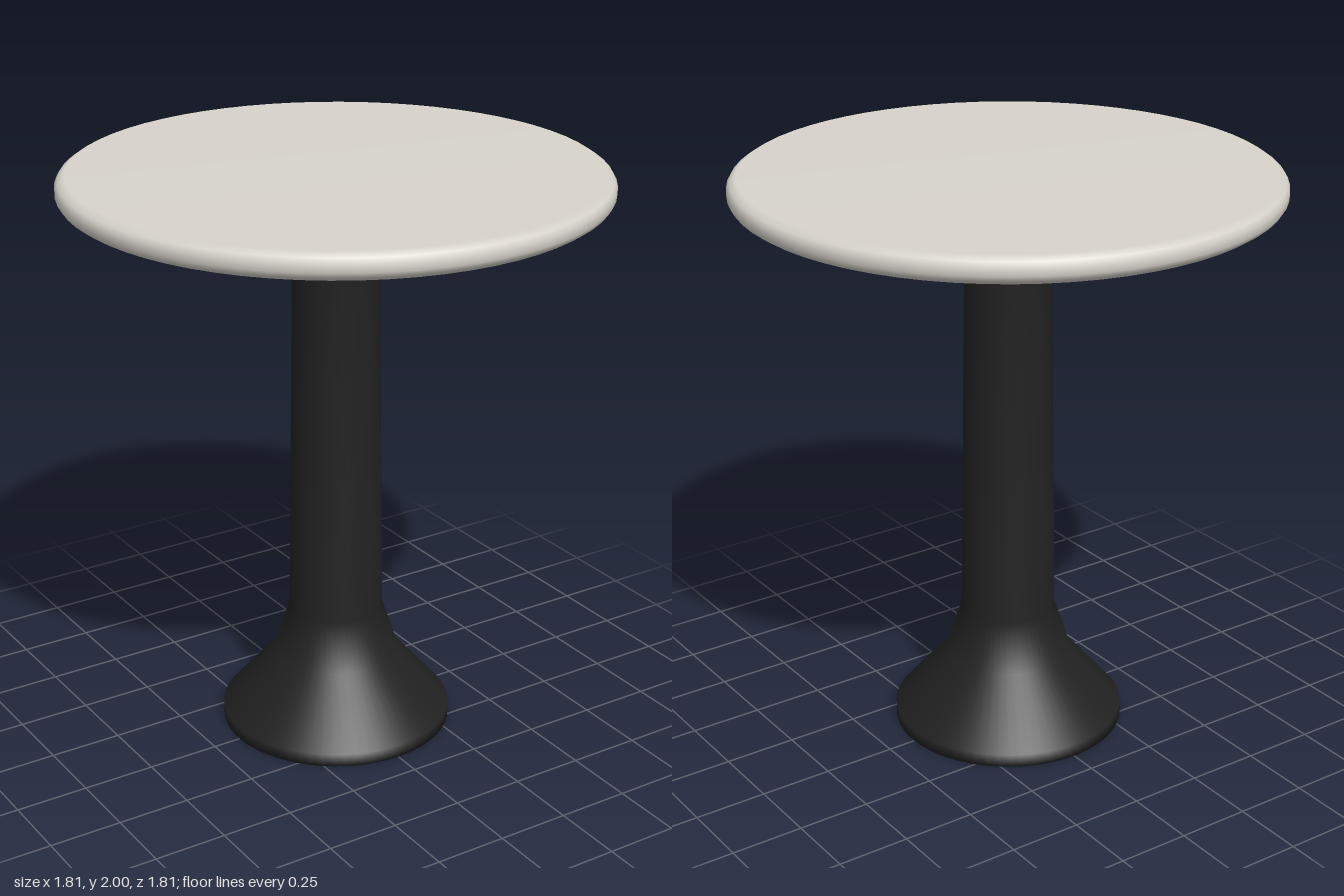
import * as THREE from 'three';

const SEGMENTS = 64;

// Revolve a bottom-to-top profile of [radius, height] pairs
function turned(name, profile, material) {
  const points = profile.map(([r, y]) => new THREE.Vector2(r, y));
  const mesh = new THREE.Mesh(new THREE.LatheGeometry(points, SEGMENTS), material);
  mesh.name = name;
  return mesh;
}

export function createModel() {
  const stone = new THREE.MeshStandardMaterial({ color: 0xd8d4cc });
  stone.name = 'pale stone';
  const metal = new THREE.MeshStandardMaterial({ color: 0x222222 });
  metal.name = 'black metal';

  const table = new THREE.Group();
  table.name = 'pedestalTable';

  // Flared foot, tapering column and a conical collar under the top
  table.add(turned('pedestal', [
    [0, 0], [0.4, 0], [0.4, 0.045], [0.22, 0.255], [0.163, 0.43],
    [0.145, 1.69], [0.252, 1.875], [0.252, 1.912],
  ], metal));

  // Round top with bevelled edges
  table.add(turned('tableTop', [
    [0, 1.91], [0.875, 1.91], [0.897, 1.925], [0.907, 1.942],
    [0.907, 1.968], [0.897, 1.985], [0.875, 2], [0, 2],
  ], stone));

  return table;
}
